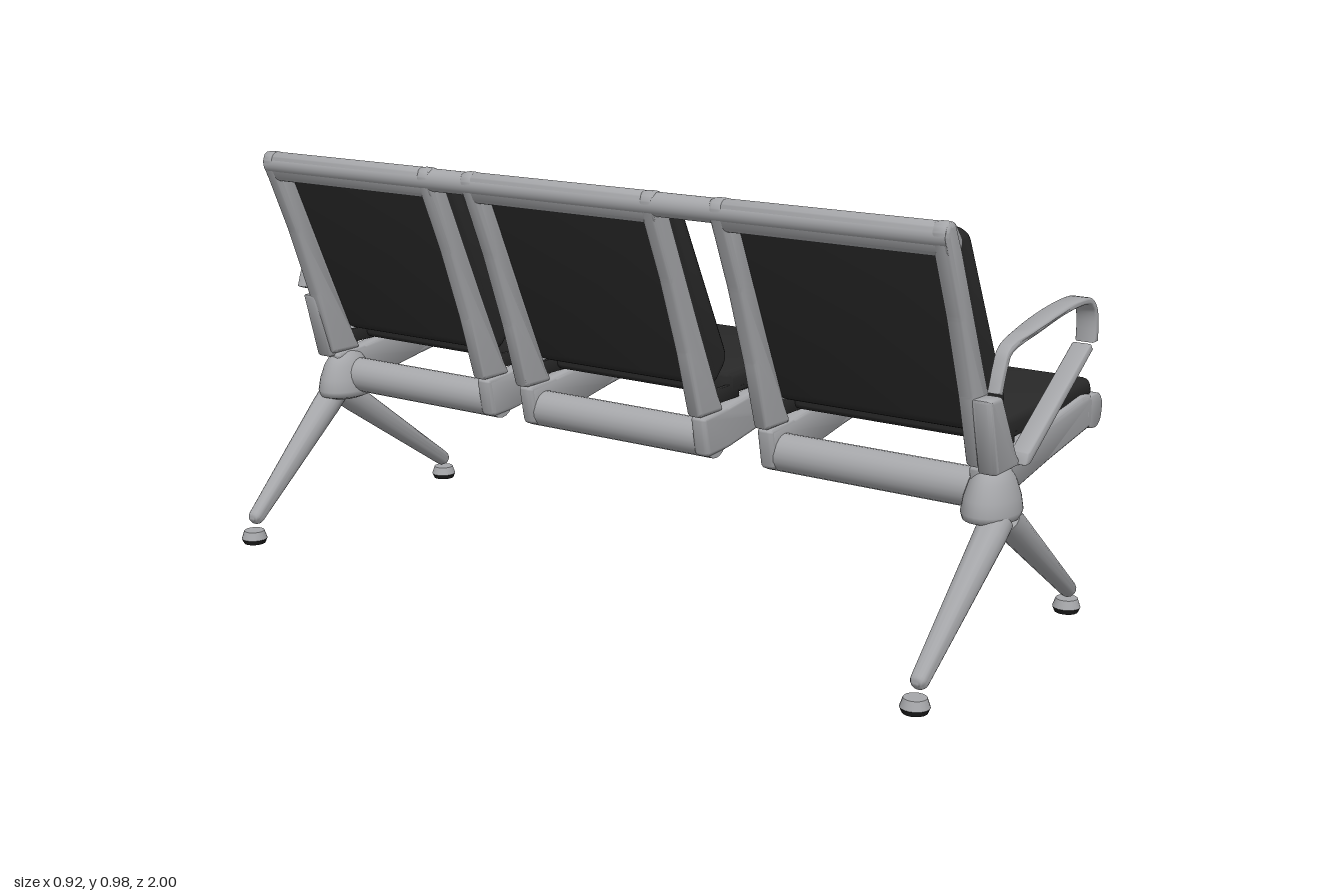
import * as THREE from 'three';
import { toCreasedNormals } from 'three/addons/utils/BufferGeometryUtils.js';

const metal = new THREE.MeshStandardMaterial({ color: 0xa6a7aa });
metal.name = 'brushed grey metal';
const leather = new THREE.MeshStandardMaterial({ color: 0x282828 });
leather.name = 'black upholstery';
const rubber = new THREE.MeshStandardMaterial({ color: 0x1c1c1c });
rubber.name = 'black rubber';

function add(parent, name, geometry, material) {
  const mesh = new THREE.Mesh(geometry, material);
  mesh.name = name;
  parent.add(mesh);
  return mesh;
}

// Closed polygon with every corner rounded by radius r
function roundedShape(points, r) {
  const p = points.map(([x, y]) => new THREE.Vector2(x, y));
  const shape = new THREE.Shape();
  p.forEach((c, i) => {
    const toward = (q) => {
      const d = q.clone().sub(c);
      return c.clone().addScaledVector(d.normalize(), Math.min(r, q.distanceTo(c) * 0.45));
    };
    const a = toward(p[(i + p.length - 1) % p.length]);
    const b = toward(p[(i + 1) % p.length]);
    if (i === 0) shape.moveTo(a.x, a.y);
    else shape.lineTo(a.x, a.y);
    shape.quadraticCurveTo(c.x, c.y, b.x, b.y);
  });
  shape.closePath();
  return shape;
}

// Side profile extruded from z0 to z1 with soft edges; widthAt(x, y) can narrow it locally
function slab(shape, z0, z1, bevel, widthAt = () => 1) {
  const g = new THREE.ExtrudeGeometry(shape, {
    depth: z1 - z0 - 2 * bevel, bevelEnabled: true, bevelSize: bevel, bevelThickness: bevel,
    bevelOffset: -bevel, bevelSegments: 4, curveSegments: 6,
  });
  g.translate(0, 0, z0 + bevel);
  const pos = g.attributes.position, mid = (z0 + z1) / 2;
  for (let i = 0; i < pos.count; i++) {
    pos.setZ(i, mid + (pos.getZ(i) - mid) * widthAt(pos.getX(i), pos.getY(i)));
  }
  return toCreasedNormals(g, 0.7);
}

// Strap following a centre line in the side plane, thinner in the middle of its run
function strapShape(points, t) {
  const curve = new THREE.SplineCurve(points.map(([x, y]) => new THREE.Vector2(x, y)));
  const left = [], right = [];
  const n = 28;
  for (let i = 0; i <= n; i++) {
    const c = curve.getPoint(i / n), d = curve.getTangent(i / n);
    const half = (t / 2) * (1 - 0.25 * Math.sin((Math.PI * i) / n));
    const side = new THREE.Vector2(-d.y, d.x).multiplyScalar(half);
    left.unshift(c.clone().add(side));
    right.push(c.clone().sub(side));
  }
  return new THREE.Shape([...right, ...left]);
}

function tubeZ(parent, name, x, y, r, z0, z1) {
  const g = new THREE.CylinderGeometry(r, r, z1 - z0, 20);
  g.rotateX(Math.PI / 2);
  g.translate(x, y, (z0 + z1) / 2);
  add(parent, name, g, metal);
}

const backRail = roundedShape([
  [-0.343, 0.955], [-0.333, 0.981], [-0.302, 0.981], [-0.27, 0.92], [-0.155, 0.66],
  [-0.055, 0.44], [-0.15, 0.44], [-0.2, 0.6], [-0.265, 0.775]], 0.01);
const seatRail = roundedShape([
  [-0.14, 0.44], [-0.05, 0.445], [0.1, 0.463], [0.36, 0.494], [0.41, 0.487],
  [0.41, 0.412], [0.18, 0.38], [-0.03, 0.345], [-0.12, 0.34]], 0.015);
const topBar = roundedShape([
  [-0.342, 0.953], [-0.333, 0.98], [-0.302, 0.98], [-0.262, 0.935], [-0.275, 0.91], [-0.322, 0.908]], 0.012);
const frontBar = roundedShape([
  [0.39, 0.486], [0.442, 0.486], [0.462, 0.46], [0.456, 0.42], [0.436, 0.404],
  [0.395, 0.408], [0.378, 0.445]], 0.012);
const hinge = roundedShape([
  [-0.082, 0.455], [-0.074, 0.49], [0.03, 0.49], [0.03, 0.455]], 0.005);
const backCushion = roundedShape([
  [-0.288, 0.942], [-0.215, 0.966], [-0.008, 0.555], [-0.08, 0.485]], 0.035);
const seatCushion = roundedShape([
  [-0.02, 0.46], [-0.02, 0.523], [0.425, 0.523], [0.439, 0.476], [0.3, 0.466]], 0.02);

// Rounds the plan corners of a cushion beyond the limits lo and hi
const roundEnds = (v, lo, hi) => 1 - 60 * Math.max(0, v - hi, lo - v) ** 2;

function makeSeat(z0, z1) {
  const seat = new THREE.Group();
  seat.name = 'seat';
  // Side frames, with slim dark joints between back and seat
  const w = 0.04;
  for (const a of [z0, z1 - w]) {
    add(seat, 'backRail', slab(backRail, a, a + w, 0.011), metal);
    add(seat, 'seatRail', slab(seatRail, a, a + w, 0.011), metal);
    add(seat, 'backHinge', slab(hinge, a + 0.014, a + w - 0.014, 0.002), leather);
  }
  // Cross members
  add(seat, 'frontBar', slab(frontBar, z0, z1, 0.003), metal);
  add(seat, 'topBar', slab(topBar, z0 + 0.004, z1 - 0.004, 0.003), metal);
  tubeZ(seat, 'rearTube', -0.08, 0.376, 0.044, z0 + 0.005, z1 - 0.005);
  // Upholstery
  add(seat, 'backCushion', slab(backCushion, z0 + 0.012, z1 - 0.012, 0.024,
    (x, y) => roundEnds(y, 0.52, 0.93)), leather);
  add(seat, 'seatCushion', slab(seatCushion, z0 + 0.012, z1 - 0.012, 0.02,
    (x) => roundEnds(x, 0.005, 0.412)), leather);
  return seat;
}

function taperedLeg(parent, from, to, r0, r1) {
  const d = to.clone().sub(from);
  const len = d.length();
  const profile = [[0, 0], [r0, 0], [r0, len * 0.1], [r1, len - r1]];
  for (let i = 1; i <= 5; i++) {
    const a = (i / 5) * Math.PI / 2;
    profile.push([i === 5 ? 0 : r1 * Math.cos(a), len - r1 + r1 * Math.sin(a)]);
  }
  const g = new THREE.LatheGeometry(profile.map(([x, y]) => new THREE.Vector2(x, y)), 18);
  const leg = add(parent, 'leg', toCreasedNormals(g, 0.7), metal);
  leg.position.copy(from);
  leg.quaternion.setFromUnitVectors(new THREE.Vector3(0, 1, 0), d.normalize());
}

function makeEnd(s) {
  const end = new THREE.Group();
  end.name = s > 0 ? 'leftEndSupport' : 'rightEndSupport';
  const span = (a, b) => (s > 0 ? [a, b] : [-b, -a]);

  // Domed hub joining legs and frame
  const dome = [[0, 0.314], [0.05, 0.316], [0.078, 0.325], [0.083, 0.34], [0.077, 0.37],
    [0.063, 0.405], [0.046, 0.428], [0.025, 0.438], [0, 0.44]];
  const hub = add(end, 'hub', new THREE.LatheGeometry(
    dome.map(([x, y]) => new THREE.Vector2(x, y)), 28), metal);
  hub.scale.z = 0.74;
  hub.position.set(-0.092, 0, s * 0.932);

  // Upright bracket beside the backrest
  add(end, 'uprightBracket', slab(roundedShape([
    [-0.2, 0.6], [-0.138, 0.598], [-0.045, 0.43], [-0.155, 0.43]], 0.008),
  ...span(0.925, 0.972), 0.01), metal);

  // Armrest: looped top strap and slanting brace, both narrowing toward the rear
  const taper = (x) => THREE.MathUtils.lerp(0.6, 1, THREE.MathUtils.smoothstep(x, -0.2, 0));
  add(end, 'armrest', slab(strapShape([
    [-0.19, 0.615], [-0.172, 0.665], [-0.145, 0.702], [-0.05, 0.722], [0.08, 0.741],
    [0.19, 0.746], [0.235, 0.734], [0.255, 0.7], [0.257, 0.645]], 0.02),
  ...span(0.952, 1), 0.006, taper), metal);
  add(end, 'armBrace', slab(roundedShape([
    [-0.06, 0.435], [-0.05, 0.46], [0.245, 0.643], [0.257, 0.628], [-0.04, 0.435]], 0.004),
  ...span(0.947, 0.994), 0.006, taper), metal);

  // Splayed legs with levelling feet
  for (const [top, foot, footY, pad] of [[-0.115, -0.432, 0.052, -0.43], [-0.085, 0.305, 0.045, 0.293]]) {
    taperedLeg(end, new THREE.Vector3(top, 0.325, s * 0.957),
      new THREE.Vector3(foot, footY, s * 0.945), 0.035, 0.02);
    const cap = add(end, 'footCap', new THREE.CylinderGeometry(0.025, 0.032, 0.02, 18), metal);
    cap.position.set(pad, 0.022, s * 0.943);
    const sole = add(end, 'footPad', new THREE.CylinderGeometry(0.032, 0.027, 0.012, 18), rubber);
    sole.position.set(pad, 0.006, s * 0.943);
  }
  return end;
}

export function createModel() {
  const bench = new THREE.Group();
  bench.name = 'threeSeatBench';
  for (const [z0, z1] of [[0.37, 0.935], [-0.315, 0.23], [-0.952, -0.408]]) {
    bench.add(makeSeat(z0, z1));
  }
  // Continuous top rail linking the seats
  tubeZ(bench, 'topRail', -0.314, 0.952, 0.027, -0.945, 0.93);
  bench.add(makeEnd(1), makeEnd(-1));
  return bench;
}
